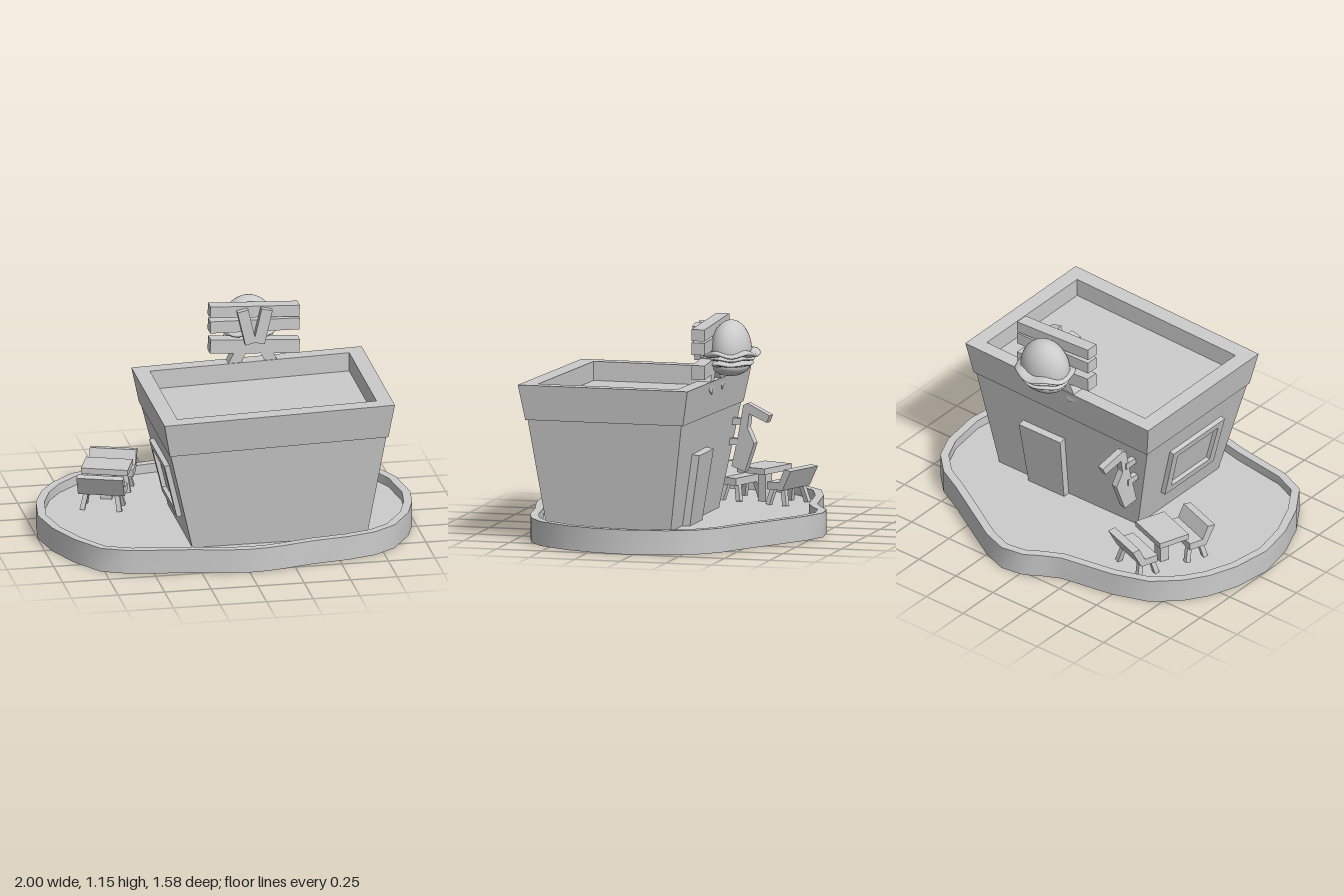
import * as THREE from 'three';
import { toCreasedNormals } from 'three/addons/utils/BufferGeometryUtils.js';

const grey = new THREE.MeshStandardMaterial({ color: 0xcccccc, side: THREE.DoubleSide });

function add(parent, name, geometry, x = 0, y = 0, z = 0) {
  const mesh = new THREE.Mesh(geometry, grey);
  mesh.name = name;
  mesh.position.set(x, y, z);
  parent.add(mesh);
  return mesh;
}

// Skin between successive closed loops of [x, y, z]; optionally caps the last four-corner loop
function loft(loops, cap = false) {
  const pos = [];
  const quad = (a, b, c, d) => pos.push(...a, ...b, ...c, ...a, ...c, ...d);
  for (let k = 0; k < loops.length - 1; k++) {
    const low = loops[k], high = loops[k + 1], n = low.length;
    for (let i = 0; i < n; i++) quad(low[i], low[(i + 1) % n], high[(i + 1) % n], high[i]);
  }
  if (cap) quad(...loops[loops.length - 1]);
  const geometry = new THREE.BufferGeometry();
  geometry.setAttribute('position', new THREE.Float32BufferAttribute(pos, 3));
  geometry.computeVertexNormals();
  return geometry;
}

// Rectangle loop whose height rises towards +x by the given slope
const rect = (x0, x1, z0, z1, y, slope = 0) =>
  [[x0, z1], [x1, z1], [x1, z0], [x0, z0]].map(([x, z]) => [x, y + slope * (x - 0.18), z]);

const polygon = (pts) => new THREE.Shape(pts.map(([x, y]) => new THREE.Vector2(x, y)));
const extrude = (shape, depth) => new THREE.ExtrudeGeometry(shape, { depth, bevelEnabled: false });

// Rectangular bar between two points
function bar(parent, name, a, b, w, d) {
  const from = new THREE.Vector3(...a), to = new THREE.Vector3(...b);
  const dir = to.clone().sub(from), mid = from.add(to).multiplyScalar(0.5);
  const mesh = add(parent, name, new THREE.BoxGeometry(w, dir.length(), d), mid.x, mid.y, mid.z);
  mesh.quaternion.setFromUnitVectors(new THREE.Vector3(0, 1, 0), dir.normalize());
  return mesh;
}

function buildBase(root) {
  const outline = [
    [0.11, -0.79], [0.25, -0.74], [0.45, -0.62], [0.65, -0.5], [0.8, -0.42], [0.91, -0.31], [0.97, -0.17],
    [1, 0.06], [0.98, 0.22], [0.93, 0.38], [0.82, 0.56], [0.7, 0.645], [0.55, 0.69], [0.35, 0.72],
    [0.2, 0.76], [0.1, 0.78], [0, 0.787], [-0.12, 0.775], [-0.3, 0.735], [-0.62, 0.69], [-0.77, 0.625],
    [-0.88, 0.46], [-0.96, 0.27], [-1, 0.06], [-0.97, -0.15], [-0.91, -0.31], [-0.83, -0.43],
    [-0.7, -0.55], [-0.5, -0.62], [-0.2, -0.67], [-0.1, -0.72], [-0.02, -0.77],
  ].reverse();
  const n = outline.length;
  const inner = outline.map(([x, z], i) => {
    const p = outline[(i + n - 1) % n], q = outline[(i + 1) % n];
    const tx = q[0] - p[0], tz = q[1] - p[1], len = Math.hypot(tx, tz);
    return [x + 0.045 * tz / len, z - 0.045 * tx / len];
  });
  const at = (pts, y) => pts.map(([x, z]) => [x, y, z]);
  const rim = loft([at(outline, 0), at(outline, 0.13), at(inner, 0.13), at(inner, 0.08)]);
  add(root, 'baseRim', toCreasedNormals(rim, 0.6));
  const floor = new THREE.ShapeGeometry(polygon(outline.map(([x, z]) => [x, -z])));
  add(root, 'baseFloor', floor.rotateX(-Math.PI / 2), 0, 0.08, 0);
}

function buildHouse(root) {
  add(root, 'houseWalls', loft([
    rect(-0.268, 0.67, -0.112, 0.567, 0.08),
    rect(-0.4, 0.76, -0.197, 0.647, 0.65, 0.026),
  ], true));
  // Flared parapet with a sunken roof
  add(root, 'parapetAndRoof', loft([
    rect(-0.38, 0.74, -0.18, 0.63, 0.645, 0.026),
    rect(-0.405, 0.768, -0.207, 0.657, 0.645, 0.026),
    rect(-0.44, 0.797, -0.24, 0.69, 0.832, 0.028),
    rect(-0.355, 0.715, -0.16, 0.6, 0.832, 0.028),
    rect(-0.355, 0.715, -0.16, 0.6, 0.73, 0.028),
  ], true));

  const door = add(root, 'door',
    extrude(polygon([[-0.12, 0], [0.12, 0], [0.14, 0.39], [-0.14, 0.39]]), 0.04), 0.32, 0.08, -0.112);
  door.rotation.set(0.15, Math.PI, 0, 'YXZ');

  // Side window: hollow frame with a pane behind it
  const win = new THREE.Group();
  win.name = 'window';
  const frame = polygon([[-0.21, -0.15], [0.2, -0.15], [0.21, 0.15], [-0.22, 0.15]]);
  frame.holes.push(new THREE.Path(
    [[-0.165, -0.11], [-0.175, 0.11], [0.165, 0.11], [0.155, -0.11]].map(([x, y]) => new THREE.Vector2(x, y))));
  add(win, 'windowFrame', extrude(frame, 0.04), 0, 0, -0.012);
  add(win, 'windowPane', new THREE.BoxGeometry(0.36, 0.24, 0.01));
  win.position.set(-0.335, 0.365, 0.25);
  win.rotation.set(0.23, -Math.PI / 2, 0, 'YXZ');
  root.add(win);

  // Bent arrow sign held off the back wall by two brackets
  const arrow = add(root, 'arrowSign', extrude(polygon([
    [0.19, 0.3], [0.27, 0.275], [0.325, 0.43], [0.285, 0.51], [0.295, 0.585],
    [0.4, 0.545], [0.418, 0.585], [0.285, 0.642], [0.26, 0.63], [0.23, 0.47],
  ]), 0.04), -0.36, 0, 0);
  arrow.rotation.y = Math.PI / 2 - 0.22;
  for (const [y, z] of [[0.54, -0.215], [0.43, -0.2]])
    add(root, 'signBracket', new THREE.BoxGeometry(0.03, 0.035, 0.09), -0.295, y, z);
}

function buildRoofSign(root) {
  const sign = new THREE.Group();
  sign.name = 'roofSign';
  root.add(sign);
  for (const [y, h, tilt] of [[1.11, 0.062, -0.045], [1.032, 0.065, -0.02], [0.915, 0.076, -0.06]])
    add(sign, 'signBoard', new THREE.BoxGeometry(0.48, h, 0.072), 0.21, y, -0.2).rotation.z = tilt;
  for (const s of [-1, 1]) {
    bar(sign, 'frontStrut', [0.203 + s * 0.022, 0.945, -0.143], [0.203 + s * 0.065, 1.13, -0.143], 0.06, 0.036);
    bar(sign, 'signLeg', [0.2 + s * 0.125, 0.78, -0.2], [0.2 + s * 0.04, 0.94, -0.2], 0.06, 0.07);
  }

  // Burger fixed behind the boards
  const burger = new THREE.Group();
  burger.name = 'burger';
  burger.position.set(0.2, 0, -0.31);
  root.add(burger);
  const dome = new THREE.SphereGeometry(1, 28, 12, 0, Math.PI * 2, 0, Math.PI / 2);
  add(burger, 'topBun', dome, 0, 0.985, 0).scale.set(0.145, 0.168, 0.108);
  const layers = [['lettuce', 0.98, 0.166, 0.024, 0.155, 0.4], ['cheese', 0.95, 0.135, 0.014, 0.125, 0.3],
    ['patty', 0.925, 0.135, 0.02, 0.12, 0.15]];
  for (const [name, y, rx, ry, rz, wave] of layers) {
    const g = new THREE.SphereGeometry(1, 36, 12), p = g.attributes.position;
    for (let i = 0; i < p.count; i++) {
      const x = p.getX(i), z = p.getZ(i);
      p.setY(i, p.getY(i) + wave * Math.hypot(x, z) * Math.sin(5 * Math.atan2(z, x)));
    }
    g.scale(rx, ry, rz).computeVertexNormals();
    add(burger, name, g, 0, y, 0);
  }
  const bottom = add(burger, 'bottomBun', dome, 0, 0.915, 0);
  bottom.scale.set(0.125, 0.06, 0.1);
  bottom.rotation.x = Math.PI;
}

function buildPicnicSet(root) {
  const set = new THREE.Group();
  set.name = 'picnicSet';
  set.position.set(-0.563, 0, -0.28);
  set.rotation.y = -0.344;
  root.add(set);

  add(set, 'tableTop', new THREE.BoxGeometry(0.25, 0.032, 0.177), 0, 0.255, 0.003);
  add(set, 'tablePost', new THREE.BoxGeometry(0.06, 0.17, 0.05), 0, 0.162, 0);

  // Two facing benches with leaning backs
  for (const s of [-1, 1]) {
    const bench = new THREE.Group();
    bench.name = s < 0 ? 'backBench' : 'frontBench';
    bench.rotation.y = s < 0 ? Math.PI : 0;
    set.add(bench);
    const profile = polygon([
      [-0.1, 0.165], [-0.2, 0.165], [-0.255, 0.272], [-0.212, 0.278], [-0.178, 0.205], [-0.1, 0.205]]);
    add(bench, 'benchSeat', extrude(profile, 0.248), -0.124, 0, 0).rotation.y = Math.PI / 2;
    for (const x of [-1, 1]) for (const z of [-1, 1])
      bar(bench, 'benchLeg', [x * 0.1, 0.08, 0.15 + z * 0.055], [x * 0.08, 0.18, 0.15 + z * 0.03], 0.026, 0.026);
  }
}

export function createModel() {
  const root = new THREE.Group();
  root.name = 'burgerStand';
  buildBase(root);
  buildHouse(root);
  buildRoofSign(root);
  buildPicnicSet(root);
  return root;
}
